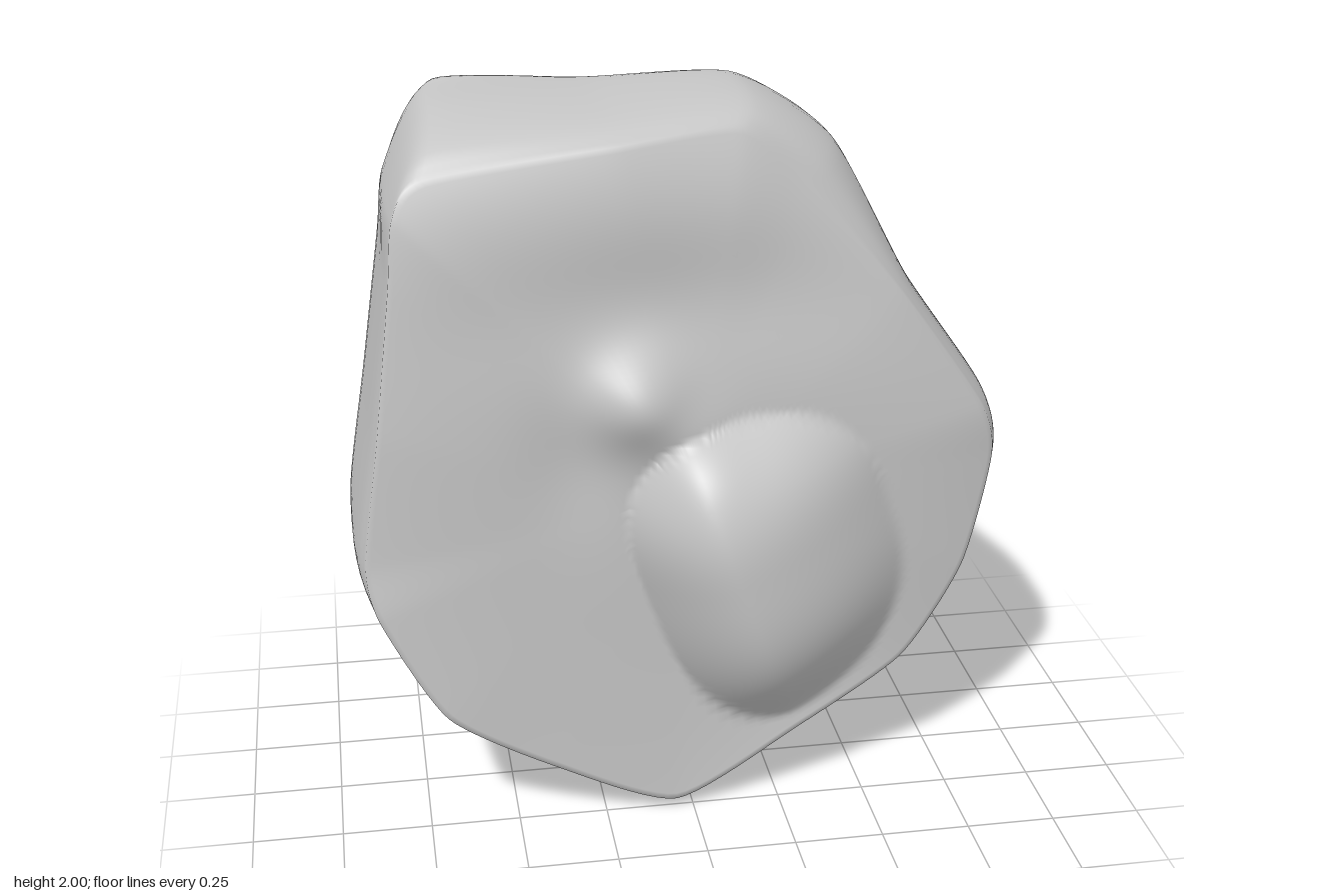
import * as THREE from 'three';
import { mergeVertices } from 'three/addons/utils/BufferGeometryUtils.js';

// Clockwise outline: widest x, y | front edge x, y, z | back edge x, y
const RIM = [
  [-0.04, 0.0, -0.05, 0.03, 0.27, -0.09, 0.12],
  [-0.4, 0.17, -0.4, 0.185, 0.29, -0.37, 0.23],
  [-0.7, 0.36, -0.69, 0.37, 0.3, -0.66, 0.41],
  [-0.87, 0.66, -0.86, 0.67, 0.28, -0.83, 0.69],
  [-0.92, 0.82, -0.89, 0.83, 0.26, -0.88, 0.84],
  [-0.86, 1.2, -0.84, 1.2, 0.27, -0.83, 1.2],
  [-0.8, 1.6, -0.79, 1.6, 0.25, -0.76, 1.6],
  [-0.78, 1.77, -0.77, 1.78, 0.23, -0.7, 1.8],
  [-0.65, 1.97, -0.69, 1.87, 0.2, -0.62, 1.98],
  [-0.2, 1.985, -0.2, 1.93, 0.18, -0.2, 1.965],
  [0.2, 1.995, 0.15, 1.95, 0.11, 0.22, 1.95],
  [0.45, 1.84, 0.32, 1.8, 0.11, 0.42, 1.81],
  [0.66, 1.46, 0.6, 1.47, 0.13, 0.66, 1.46],
  [0.88, 1.14, 0.84, 1.13, 0.12, 0.84, 1.11],
  [0.92, 0.98, 0.88, 0.97, 0.11, 0.87, 0.96],
  [0.83, 0.65, 0.8, 0.65, 0.14, 0.79, 0.66],
  [0.66, 0.37, 0.62, 0.39, 0.18, 0.63, 0.42],
  [0.3, 0.18, 0.3, 0.22, 0.25, 0.25, 0.23],
];
const AROUND = 180, FACE = 60, SIDE = 18, BACK = 24;
const CENTRE_Y = 1;

const gauss = (x, y, cx, cy, rx, ry) => Math.exp(-(((x - cx) / rx) ** 2) - ((y - cy) / ry) ** 2);

// Front relief: large tilted lump, small knob and shallow hollows
function frontRelief(x, y) {
  const dx = x - 0.2, dy = y - 0.8;
  const along = dx * 0.33 - dy * 0.94;
  const across = dx * 0.94 + dy * 0.33 + 0.09;
  const q = Math.abs(across / (across < 0 ? 0.26 : 0.46)) ** 1.8
    + Math.abs(along / (along < 0 ? 0.4 : 0.53)) ** 3;
  const lump = 0.235 * Math.max(0, 1 - q);
  return lump + 0.08 * gauss(x, y, -0.15, 1.26, 0.13, 0.13)
    + 0.04 * gauss(x, y, 0, 1.13, 0.12, 0.12)
    - 0.02 * gauss(x, y, -0.32, 1.1, 0.14, 0.2)
    - 0.04 * gauss(x, y, -0.05, 1.52, 0.55, 0.2);
}

function frontPoint(edge, s) {
  const x = edge.x * s, y = CENTRE_Y + (edge.y - CENTRE_Y) * s;
  const base = 0.25 - 0.065 * x;
  const z = THREE.MathUtils.lerp(base, edge.z, s ** 4);
  return [x, y, z + frontRelief(x, y) * (1 - s ** 8)];
}

// Back is a broad hollow, deepest along a diagonal valley
function backPoint(edge, s) {
  const x = edge.x * s, y = CENTRE_Y + (edge.y - CENTRE_Y) * s;
  const valley = Math.exp(-(((x * 0.85 - (y - 1) * 0.5) / 0.42) ** 2));
  const z = THREE.MathUtils.lerp(-0.475, edge.z, s ** 6);
  return [x, y, z + (1 - s ** 2) ** 1.5 * (0.03 + 0.08 * valley)];
}

function stoneGeometry() {
  const loop = (pick) => new THREE.CatmullRomCurve3(
    RIM.map((r) => new THREE.Vector3(...pick(r))), true, 'catmullrom', 0.32);
  const outer = loop((r) => [r[0], r[1], 0]);
  const front = loop((r) => [r[2], r[3], r[4]]);
  const back = loop((r) => [r[5], r[6], -0.447 - 0.012 * Math.cos(r[0] * 6)]);

  // One strip per angle: front centre, rim, side, back centre
  const rows = FACE + SIDE + BACK + 1;
  const positions = [], index = [];
  for (let j = 0; j < AROUND; j++) {
    const t = j / AROUND;
    const o = outer.getPoint(t), f = front.getPoint(t), b = back.getPoint(t);
    const shoulder = f.clone().lerp(o, 0.6).setZ(f.z - 0.07);
    const side = new THREE.CatmullRomCurve3([
      f, shoulder, o.clone().setZ(-0.1), o.clone().lerp(b, 0.3).setZ(-0.39), b,
    ]);
    for (let i = 0; i < FACE; i++) positions.push(...frontPoint(f, i / FACE));
    for (let i = 0; i < SIDE; i++) positions.push(...side.getPoint(i / SIDE).toArray());
    for (let i = 0; i <= BACK; i++) positions.push(...backPoint(b, 1 - i / BACK));
  }
  for (let j = 0; j < AROUND; j++) {
    const p = j * rows, q = ((j + 1) % AROUND) * rows;
    for (let i = 0; i < rows - 1; i++) {
      if (i > 0) index.push(p + i, q + i, p + i + 1);
      if (i < rows - 2) index.push(q + i, q + i + 1, p + i + 1);
    }
  }
  let geometry = new THREE.BufferGeometry();
  geometry.setAttribute('position', new THREE.Float32BufferAttribute(positions, 3));
  geometry.setIndex(index);
  geometry = mergeVertices(geometry, 1e-5);
  geometry.computeVertexNormals();
  return geometry;
}

export function createModel() {
  const group = new THREE.Group();
  group.name = 'rock';
  const greyStone = new THREE.MeshStandardMaterial({ color: 0xc6c6c6 });
  greyStone.name = 'grey stone';
  const stone = new THREE.Mesh(stoneGeometry(), greyStone);
  stone.name = 'stone';
  group.add(stone);
  return group;
}
